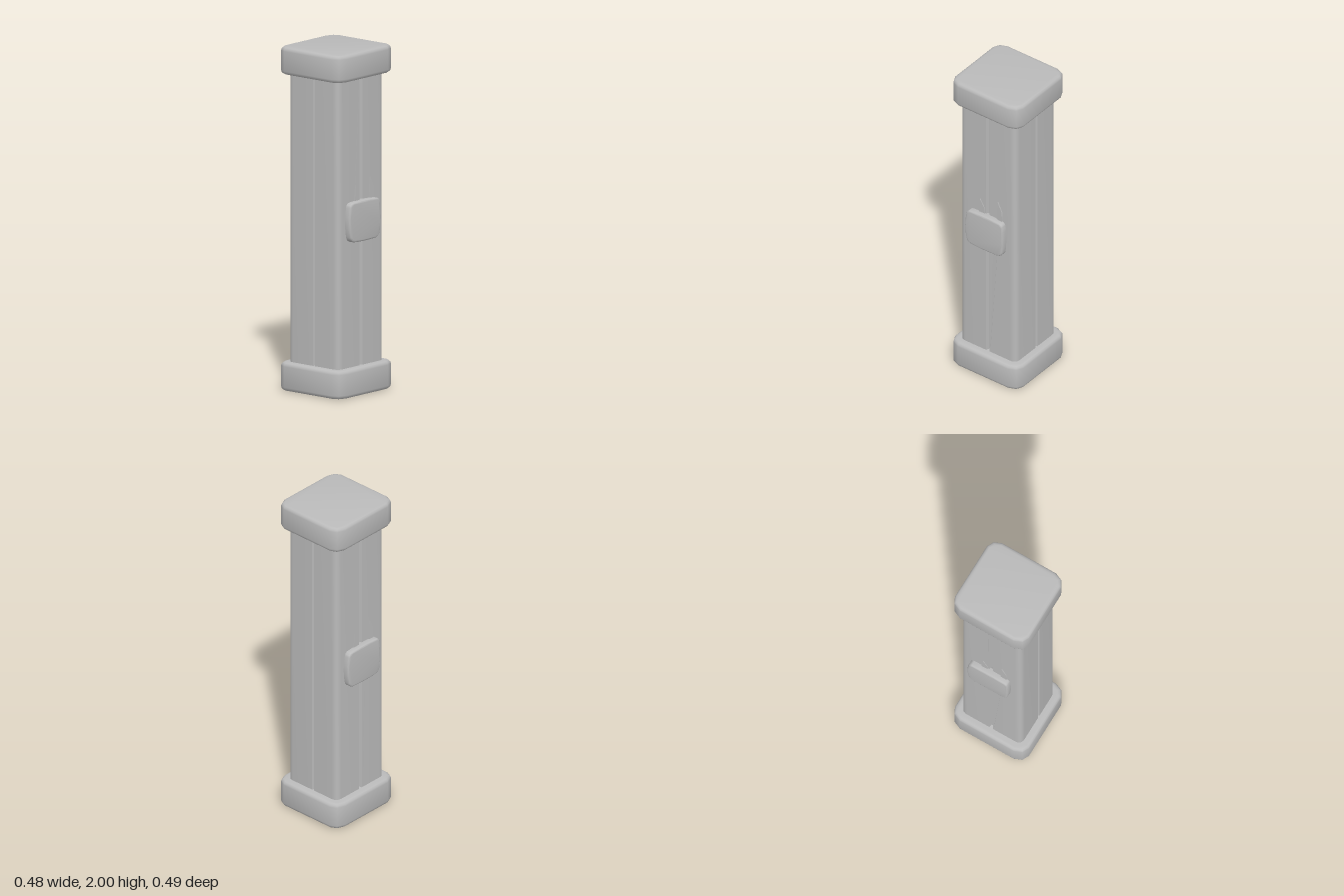
import * as THREE from 'three';
import { toCreasedNormals } from 'three/addons/utils/BufferGeometryUtils.js';

const grey = new THREE.MeshStandardMaterial({ color: 0xbababa });
grey.name = 'grey';

const outline = (points) => new THREE.Shape(points.map(([x, y]) => new THREE.Vector2(x, y)));

// Extrudes a shape to a total depth, with the bevel kept inside the outline.
function extrude(shape, depth, bevel) {
  const geometry = new THREE.ExtrudeGeometry(shape, {
    depth: depth - 2 * bevel, bevelEnabled: bevel > 0, bevelThickness: bevel,
    bevelSize: bevel, bevelOffset: -bevel, bevelSegments: 3, curveSegments: 6,
  });
  geometry.translate(0, 0, bevel);
  return geometry;
}

function part(name, geometry, crease = 0.7) {
  const mesh = new THREE.Mesh(toCreasedNormals(geometry, crease), grey);
  mesh.name = name;
  return mesh;
}

// Square block with two-step cut corners
function cap(name, y, height) {
  const X = 0.238, Z = 0.246;
  const corner = [[X, Z - 0.068], [X - 0.02, Z - 0.02], [X - 0.06, Z]];
  const flip = (sx, sz) => corner.map(([x, z]) => [x * sx, z * sz]);
  const points = [...flip(1, 1), ...flip(-1, 1).reverse(), ...flip(-1, -1), ...flip(1, -1).reverse()];
  const geometry = extrude(outline(points), height, 0.022);
  geometry.rotateX(-Math.PI / 2).translate(0, y, 0);
  return part(name, geometry, 1);
}

// Rounded column with a narrow seam down each face
function column() {
  const X = 0.189, Z = 0.199, r = 0.04, d = 0.02;
  const shape = new THREE.Shape();
  const half = (s) => {
    shape.lineTo(s * X, s * -0.012);
    shape.lineTo(s * (X - d), s * -0.006);
    shape.lineTo(s * (X - d), s * 0.006);
    shape.lineTo(s * X, s * 0.012);
    shape.lineTo(s * X, s * (Z - r));
    shape.quadraticCurveTo(s * X, s * Z, s * (X - r), s * Z);
    shape.lineTo(s * 0.001, s * Z);
    shape.lineTo(s * -0.004, s * (Z - d));
    shape.lineTo(s * -0.010, s * (Z - d));
    shape.lineTo(s * -0.015, s * Z);
    shape.lineTo(s * (r - X), s * Z);
    shape.quadraticCurveTo(s * -X, s * Z, s * -X, s * (Z - r));
  };
  shape.moveTo(X, r - Z);
  half(1);
  half(-1);
  // Mirrored so the front and back seams sit on their proper sides
  const geometry = extrude(shape, 1.72, 0);
  geometry.rotateX(-Math.PI / 2).translate(0, 0.14, 0);
  return part('column', geometry);
}

// Flat part facing +x, drawn in (-z, y)
function sidePart(name, shape, x, depth, bevel) {
  const geometry = extrude(shape, depth, bevel);
  geometry.rotateY(Math.PI / 2).translate(x, 0, 0);
  return part(name, geometry);
}

// Bulging badge plate with its ragged fins and seam slivers
function sideFitting(name) {
  const group = new THREE.Group();
  group.name = name;
  const plate = new THREE.Shape();
  plate.moveTo(-0.09, 0.896);
  plate.quadraticCurveTo(0, 0.89, 0.09, 0.896);
  plate.quadraticCurveTo(0.122, 0.9, 0.127, 0.93);
  plate.quadraticCurveTo(0.137, 1.01, 0.127, 1.1);
  plate.quadraticCurveTo(0.124, 1.125, 0.1, 1.127);
  plate.quadraticCurveTo(0, 1.134, -0.1, 1.127);
  plate.quadraticCurveTo(-0.127, 1.125, -0.131, 1.1);
  plate.quadraticCurveTo(-0.149, 1.01, -0.131, 0.93);
  plate.quadraticCurveTo(-0.125, 0.9, -0.09, 0.896);
  group.add(sidePart('badgePlate', plate, 0.17, 0.055, 0.01));

  const slivers = {
    tallFin: [[0.065, 1.11], [0.105, 1.11], [0.103, 1.19], [0.074, 1.25]],
    shortFin: [[-0.062, 1.11], [-0.02, 1.11], [-0.02, 1.165], [-0.052, 1.22]],
    upperSliver: [[-0.06, 1.12], [-0.02, 1.12], [-0.016, 1.84]],
    lowerSliver: [[0.02, 0.2], [0.07, 0.91], [0.035, 0.91]],
  };
  for (const [label, points] of Object.entries(slivers)) {
    group.add(sidePart(label, outline(points), 0.18, label.endsWith('Fin') ? 0.015 : 0.011, 0));
  }
  return group;
}

export function createModel() {
  const model = new THREE.Group();
  model.name = 'post';
  model.add(cap('baseCap', 0, 0.165), cap('topCap', 1.84, 0.16), column());
  const left = sideFitting('leftFitting');
  const right = sideFitting('rightFitting');
  right.rotation.y = Math.PI;
  model.add(left, right);
  return model;
}
